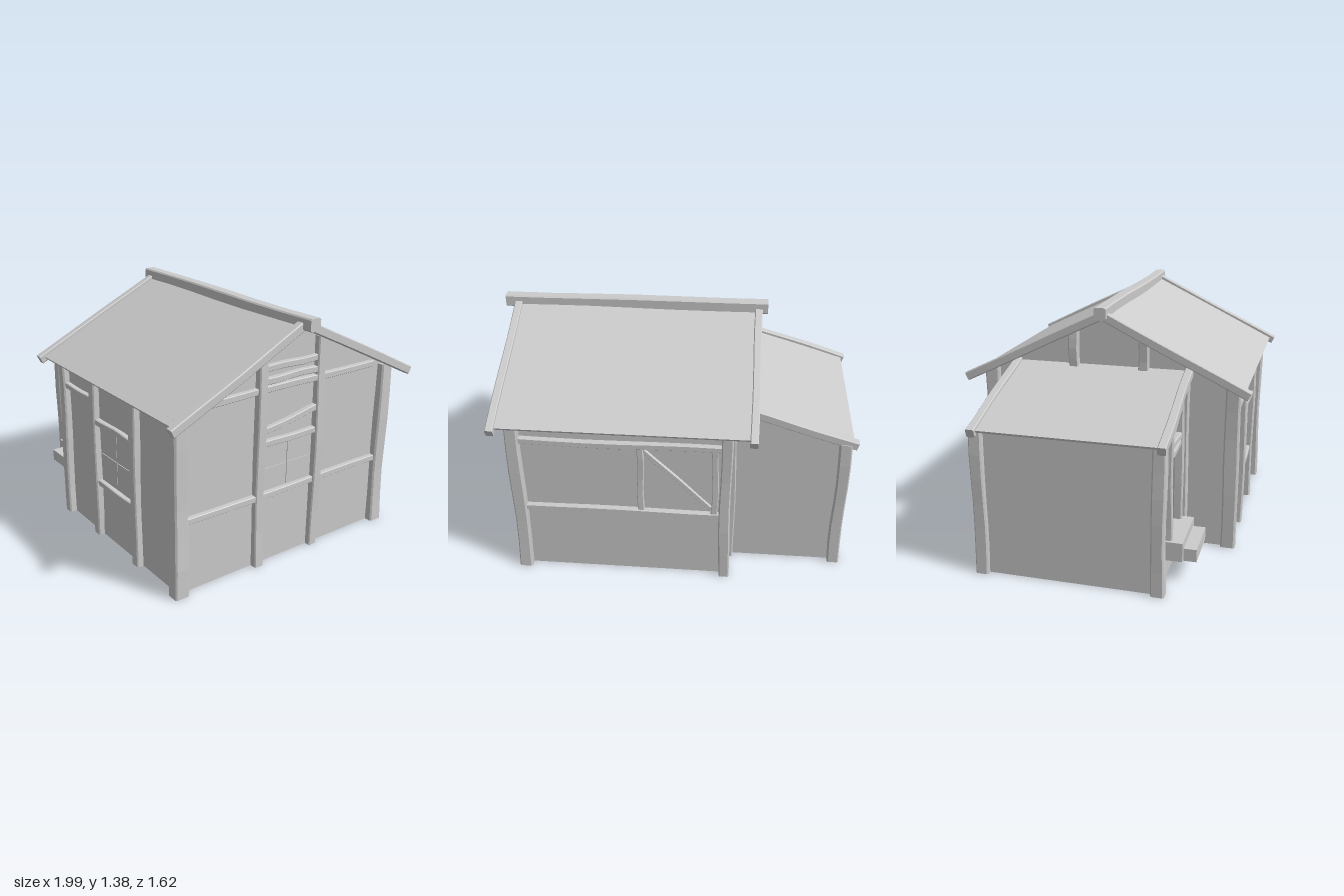
import * as THREE from 'three';

const V = (x, y, z) => new THREE.Vector3(x, y, z);
const timber = new THREE.MeshStandardMaterial({ color: 0xcccccc, flatShading: true });
const sheet = new THREE.MeshStandardMaterial({ color: 0xcccccc, side: THREE.DoubleSide });

// Heights of the two roofs
const mainRoofY = z => 1.335 - 0.4875 * Math.abs(z);
const wingRoofY = x => 0.98 + 0.307 * (x + 0.43);

export function createModel() {
  const house = new THREE.Group();
  house.name = 'timberHouse';
  let seed = 1;

  function add(name, geometry, material) {
    const mesh = new THREE.Mesh(geometry, material);
    mesh.name = name;
    house.add(mesh);
    return mesh;
  }

  // Hand-hewn beam from a to b: chamfered square section, slightly wavy.
  // w is the width along the wall, d the depth along the wall normal n.
  function beam(name, a, b, w, d, n, wave = 0.004) {
    const length = a.distanceTo(b);
    const g = new THREE.CylinderGeometry(1, 1, length, 8, 6, false, Math.PI / 8);
    const p = g.attributes.position;
    const phase = seed++ * 2.4;
    const side = v => Math.sign(v) * (Math.abs(v) < 1e-4 ? 0 : Math.abs(v) > 0.6 ? 1 : 0.78);
    for (let i = 0; i < p.count; i++) {
      const t = p.getY(i) / length + 0.5;
      const fat = 1 + wave * 10 * Math.sin(t * 9 + phase);
      p.setX(i, side(p.getX(i)) * w / 2 * fat + wave * Math.sin(t * 7 + phase));
      p.setZ(i, side(p.getZ(i)) * d / 2 * fat + wave * 0.6 * Math.sin(t * 6 + phase * 2));
    }
    const dir = b.clone().sub(a).normalize();
    const across = dir.clone().cross(n).normalize();
    const out = across.clone().cross(dir);
    g.applyMatrix4(new THREE.Matrix4().makeBasis(across, dir, out));
    g.translate((a.x + b.x) / 2, (a.y + b.y) / 2, (a.z + b.z) / 2);
    return add(name, g, timber);
  }
  const X = V(1, 0, 0), Y = V(0, 1, 0), Z = V(0, 0, 1);
  const post = (name, x, z, top, w, d, bottom = 0) =>
    beam(name, V(x, bottom, z), V(x, top, z), w, d, Z);
  const railX = (name, x0, y0, x1, y1, z) =>
    beam(name, V(x0, y0, z), V(x1, y1, z), 0.034, 0.04, Z, 0.003);
  const railZ = (name, z0, y0, z1, y1, x) =>
    beam(name, V(x, y0, z0), V(x, y1, z1), 0.034, 0.04, X, 0.003);

  // Flat wall drawn in x/y, or in z/y when it faces sideways
  function wall(name, points, at, sideways = false, hole = null) {
    const shape = new THREE.Shape(points.map(([u, v]) => new THREE.Vector2(sideways ? -u : u, v)));
    if (hole) shape.holes.push(new THREE.Path(hole.map(([u, v]) => new THREE.Vector2(u, v))));
    const g = new THREE.ShapeGeometry(shape);
    if (sideways) g.rotateY(Math.PI / 2).translate(at, 0, 0);
    else g.translate(0, 0, at);
    return add(name, g, sheet);
  }
  const rect = (u0, v0, u1, v1) => [[u0, v0], [u1, v0], [u1, v1], [u0, v1]];

  const R = 0.83, L = -0.30, D = 0.70;             // main body
  const WL = -0.93, WF = 0.43, WB = -0.53;         // side wing
  const eave = mainRoofY(D) - 0.008;

  // Main walls
  for (const s of [1, -1]) wall(s > 0 ? 'frontWall' : 'backWall', rect(L, 0, R, eave), s * D);
  for (const x of [L, R]) {
    wall('gableWall', [[-D, 0], [D, 0], [D, eave], [0, 1.325], [-D, eave]], x, true);
  }

  // Wing walls, with an open doorway in front
  const wingSide = [[WL, 0], [L, 0], [L, wingRoofY(L)], [WL, wingRoofY(WL)]];
  wall('wingFrontWall', wingSide, WF, false, rect(-0.76, 0.2, -0.515, 0.68));
  wall('wingBackWall', wingSide, WB);
  wall('wingSideWall', rect(WB, 0, WF, wingRoofY(WL)), WL, true);

  // Raised floor
  const floor = new THREE.ShapeGeometry(new THREE.Shape([
    [L, -D], [R, -D], [R, D], [L, D], [L, -WB], [WL, -WB], [WL, -WF], [L, -WF],
  ].map(([x, y]) => new THREE.Vector2(x, y))));
  add('floor', floor.rotateX(-Math.PI / 2).translate(0, 0.2, 0), sheet);

  // Corner posts and intermediate posts
  for (const z of [-D, D]) {
    post('cornerPost', R + 0.005, z, 0.98, 0.072, 0.082);
    post('cornerPost', L + 0.003, z, 0.98, 0.06, 0.082);
  }
  for (const x of [0.05, 0.465]) post('frontPost', x, D + 0.008, 0.97, 0.056, 0.06);
  for (const z of [-0.2, 0.2]) {
    post('gablePost', R + 0.01, z, mainRoofY(z) - 0.01, 0.055, 0.055);
    post('leftGablePost', L - 0.01, z, mainRoofY(z) - 0.01, 0.055, 0.055, 0.9);
  }
  for (const z of [WF, WB]) {
    post('wingCornerPost', WL + 0.003, z, wingRoofY(WL) - 0.01, 0.066, 0.07);
    post('wingInnerPost', L - 0.02, z, wingRoofY(L) - 0.02, 0.055, 0.06);
  }

  // Front rails
  railX('frontRail', L, 0.815, 0.05, 0.815, D + 0.008);
  for (const y of [0.705, 0.335]) railX('windowRail', 0.05, y, 0.465, y, D + 0.008);

  // Right gable rails and brace
  railZ('gableRail', D, 0.41, -D, 0.41, R + 0.008);
  railZ('gableRail', 0.6, 1.0, -0.6, 1.0, R + 0.008);
  for (const y of [0.703, 1.048, 1.113]) railZ('gableShortRail', 0.19, y, -0.19, y, R + 0.008);
  railZ('gableBrace', 0.19, 0.77, -0.19, 0.835, R + 0.008);

  // Back rails, struts and diagonal
  for (const y of [0.42, 0.855]) railX('backRail', L, y, R, y, -D - 0.01);
  for (const x of [0.16, -0.24]) post('backStrut', x, -D - 0.005, 0.85, 0.034, 0.035, 0.42);
  beam('backBrace', V(0.15, 0.83, -D), V(-0.22, 0.46, -D), 0.025, 0.03, Z, 0.002);

  // Windows of four panes
  for (const s of [-1, 1]) for (const y of [0, 1]) {
    add('frontWindowPane', new THREE.BoxGeometry(0.165, 0.163, 0.01), timber)
      .position.set(0.258 + s * 0.084, 0.437 + y * 0.167, D);
    add('gableWindowPane', new THREE.BoxGeometry(0.01, 0.128, 0.17), timber)
      .position.set(R, 0.491 + y * 0.131, s * 0.087);
  }

  // Doorway of the wing: posts, lintels, brace and steps
  post('doorPost', -0.772, WF + 0.012, wingRoofY(-0.772) - 0.01, 0.034, 0.05, 0.2);
  post('doorPost', -0.5, WF + 0.012, wingRoofY(-0.5) - 0.01, 0.036, 0.05, 0.2);
  for (const y of [0.688, 0.73]) railX('doorLintel', -0.772, y, -0.5, y, WF + 0.008);
  railX('doorBrace', -0.765, 0.775, -0.505, 0.885, WF + 0.008);
  add('doorSill', new THREE.BoxGeometry(0.33, 0.105, 0.11), timber).position.set(-0.638, 0.187, 0.475);
  add('doorStep', new THREE.BoxGeometry(0.275, 0.07, 0.075), timber).position.set(-0.633, 0.162, 0.562);

  // Main roof slopes, verge beams and ridge beam
  const pitch = Math.atan(0.4875);
  for (const s of [-1, 1]) {
    const slope = add('mainRoof', new THREE.BoxGeometry(1.36, 0.012, 0.775 / Math.cos(pitch)), timber);
    slope.position.set(0.245, mainRoofY(0.3875), s * 0.3875);
    slope.rotation.x = s * pitch;
    for (const x of [-0.435, 0.926]) {
      beam('vergeBeam', V(x, mainRoofY(0), 0), V(x, mainRoofY(0.8), s * 0.8), 0.042, 0.048, Y, 0.002);
    }
  }
  beam('ridgeBeam', V(-0.485, 1.348, 0), V(1, 1.343, 0), 0.066, 0.068, Y, 0.004);

  // Wing lean-to roof and its verge beams
  const wingPitch = Math.atan(0.307);
  const lean = add('wingRoof', new THREE.BoxGeometry(0.67 / Math.cos(wingPitch), 0.012, 1.0), timber);
  lean.position.set(-0.635, wingRoofY(-0.635), -0.045);
  lean.rotation.z = wingPitch;
  for (const z of [0.453, -0.542]) {
    beam('wingVergeBeam', V(-0.988, wingRoofY(-0.988), z), V(L, wingRoofY(L), z), 0.044, 0.046, Y, 0.003);
  }
  return house;
}
